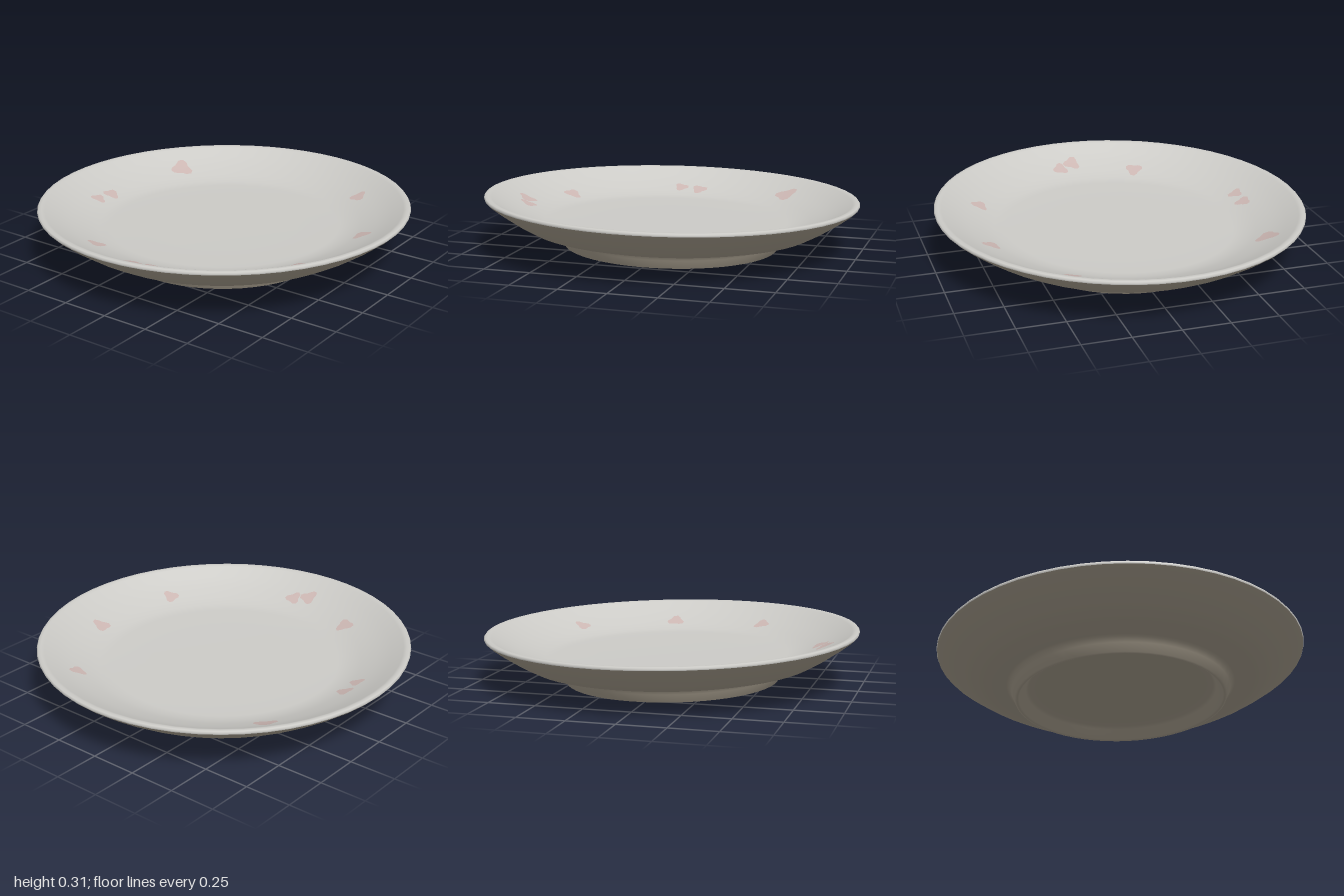
import * as THREE from 'three';

// Profiles as [radius, height]; close point pairs keep a tight edge.
const UNDERSIDE = [
  [0, 0.085], [0.46, 0.083], [0.50, 0.078], [0.515, 0.065], [0.55, 0.018], [0.56, 0.013],
  [0.572, 0.016], [0.59, 0.06], [0.604, 0.086], [0.62, 0.092], [0.70, 0.1], [0.77, 0.118],
  [0.85, 0.162], [0.93, 0.215], [0.985, 0.256], [0.997, 0.268],
];
const INSIDE = [
  [0.997, 0.268], [1, 0.276], [0.994, 0.284], [0.978, 0.286], [0.96, 0.279], [0.9, 0.245],
  [0.82, 0.208], [0.74, 0.179], [0.68, 0.16], [0.62, 0.153], [0.4, 0.151], [0, 0.151],
];

// Height of the eating surface at a given radius
function insideHeight(r) {
  for (let i = 4; i < INSIDE.length - 1; i++) {
    const [r0, y0] = INSIDE[i], [r1, y1] = INSIDE[i + 1];
    if (r <= r0 && r >= r1) return y0 + (y1 - y0) * (r0 - r) / (r0 - r1);
  }
  return INSIDE[INSIDE.length - 1][1];
}

function lathe(name, profile, material) {
  const points = profile.map(([r, y]) => new THREE.Vector2(r, y));
  const mesh = new THREE.Mesh(new THREE.LatheGeometry(points, 56), material);
  mesh.name = name;
  return mesh;
}

// Soft-edged blossom patch draped over the sloping border
function blossom(x, z, size, material) {
  const geometry = new THREE.CircleGeometry(size, 15).rotateX(-Math.PI / 2);
  const p = geometry.attributes.position;
  for (let i = 0; i < p.count; i++) {
    const a = Math.atan2(p.getZ(i), p.getX(i));
    const k = 0.8 + 0.2 * Math.cos(3 * a + x * 9);
    const px = x + p.getX(i) * k, pz = z + p.getZ(i) * k;
    p.setXYZ(i, px, insideHeight(Math.hypot(px, pz)) + 0.003, pz);
  }
  geometry.computeVertexNormals();
  const mesh = new THREE.Mesh(geometry, material);
  mesh.name = 'blossomPatch';
  return mesh;
}

export function createModel() {
  const glaze = new THREE.MeshStandardMaterial({ color: 0xcbcac6 });
  const clay = new THREE.MeshStandardMaterial({ color: 0xa39a8a });
  const pink = new THREE.MeshStandardMaterial({ color: 0xcbb6b2 });

  const plate = new THREE.Group();
  plate.name = 'plate';
  plate.add(lathe('undersideAndFootRing', UNDERSIDE, clay));
  plate.add(lathe('rimAndEatingSurface', INSIDE, glaze));

  // Faded blossoms around the border
  const spots = [
    [-0.66, -0.48, 0.07], [0.45, -0.66, 0.05], [0.75, -0.18, 0.055], [0.70, 0.35, 0.05],
    [0.04, 0.82, 0.055], [0.12, 0.78, 0.05], [-0.31, 0.69, 0.055], [-0.75, 0.06, 0.05],
    [-0.75, 0.17, 0.045],
  ];
  for (const [x, z, size] of spots) plate.add(blossom(x, z, size, pink));

  // Slightly oval and resting at a faint tilt
  plate.scale.x = 0.985;
  plate.rotation.set(-0.017, 0, 0.014);

  const model = new THREE.Group();
  model.name = 'dish';
  model.add(plate);
  return model;
}
